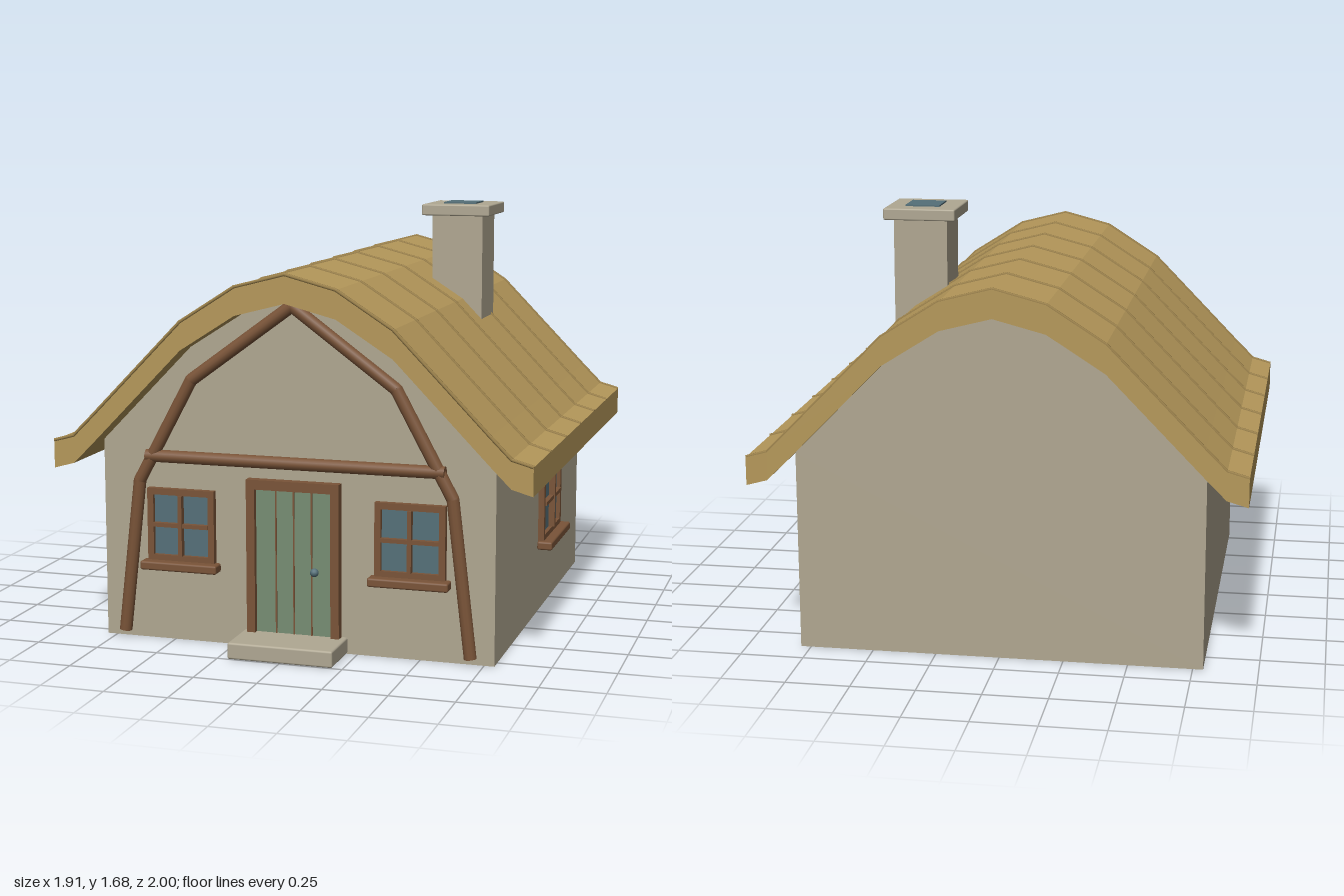
import * as THREE from 'three';
import { RoundedBoxGeometry } from 'three/addons/geometries/RoundedBoxGeometry.js';

const mat = (name, color) => {
  const m = new THREE.MeshStandardMaterial({ color });
  m.name = name;
  return m;
};

export function createModel() {
  const plaster = mat('plaster', 0xb0a791);
  const stone = mat('stone', 0xb0a893);
  const thatch = mat('thatch', 0xb5985a);
  const binding = mat('thatch binding', 0x9c824c);
  const wood = mat('wood', 0x7a5438);
  const green = mat('door paint', 0x778d73);
  const glass = mat('glass', 0x557079);

  const house = new THREE.Group();
  house.name = 'cottage';

  const add = (parent, name, geo, material, x = 0, y = 0, z = 0) => {
    const m = new THREE.Mesh(geo, material);
    m.name = name;
    m.position.set(x, y, z);
    parent.add(m);
    return m;
  };
  const group = (name, parent = house) => {
    const g = new THREE.Group();
    g.name = name;
    parent.add(g);
    return g;
  };
  // Box given by its minimum and maximum corners
  const box = (parent, name, material, x0, x1, y0, y1, z0, z1, round = 0) => {
    const s = [x1 - x0, y1 - y0, z1 - z0];
    const geo = round ? new RoundedBoxGeometry(...s, 2, round) : new THREE.BoxGeometry(...s);
    return add(parent, name, geo, material, (x0 + x1) / 2, (y0 + y1) / 2, (z0 + z1) / 2);
  };
  // Round poles joined end to end along points in the x-y plane
  const poles = (parent, name, material, pts, z, r, sides) => {
    for (let i = 0; i < pts.length - 1; i++) {
      const a = new THREE.Vector3(...pts[i], z), b = new THREE.Vector3(...pts[i + 1], z);
      const d = b.clone().sub(a);
      const p = add(parent, name, new THREE.CylinderGeometry(r, r, d.length(), sides), material);
      p.position.copy(a).add(b).multiplyScalar(0.5);
      p.quaternion.setFromUnitVectors(new THREE.Vector3(0, 1, 0), d.normalize());
      if (i > 0) add(parent, name + 'Joint', new THREE.SphereGeometry(r, sides, 6), material, a.x, a.y, z);
    }
  };
  const extrude = (pts, depth) => new THREE.ExtrudeGeometry(
    new THREE.Shape(pts.map(p => new THREE.Vector2(...p))), { depth, bevelEnabled: false });

  // Roof curve, from the ridge to the right eave, then mirrored
  const half = [[0, 1.472], [0.2, 1.42], [0.42, 1.28], [0.61, 1.085], [0.79, 0.9], [0.87, 0.82], [0.952, 0.797]];
  const mirror = pts => [...pts.slice(1).reverse().map(([x, y]) => [-x, y]), ...pts];
  const top = mirror(half);
  const thick = 0.11;
  const lower = pts => pts.map(([x, y]) => [x, y - thick]);

  // Walls with curved gables
  const gable = lower(mirror(half.slice(0, 5)));
  add(house, 'walls', extrude([[-0.79, 0], [0.79, 0], ...gable.reverse()], 1.68), plaster, 0, 0, -0.88);

  // Thatched roof and its bindings
  const roof = group('roof');
  add(roof, 'thatch', extrude([...lower(top), ...top.slice().reverse()], 1.91), thatch, 0, 0, -0.997);
  for (let i = 0; i < 7; i++) poles(roof, 'binding', binding, top, 0.91 - i * 0.3167, 0.007, 6);

  // Chimney
  const chimney = group('chimney');
  box(chimney, 'stack', plaster, 0.288, 0.502, 1.12, 1.64, -0.39, -0.17);
  box(chimney, 'cap', stone, 0.25, 0.537, 1.627, 1.673, -0.427, -0.135, 0.006);
  box(chimney, 'flue', glass, 0.325, 0.462, 1.67, 1.679, -0.352, -0.215);

  // Timber frame on the front gable
  const frame = group('timberFrame');
  for (const s of [-1, 1]) {
    poles(frame, 'archBeam', wood, [[s * 0.702, 0.03], [s * 0.63, 0.64], [s * 0.41, 1.045], [0, 1.345]], 0.825, 0.025, 12);
  }
  add(frame, 'apexJoint', new THREE.SphereGeometry(0.025, 12, 6), wood, 0, 1.342, 0.825);
  poles(frame, 'crossBeam', wood, [[-0.6, 0.74], [0.6, 0.74]], 0.827, 0.025, 12);

  // Window facing +z with its back on z = 0, centred on x, bottom of frame at y = 0
  const makeWindow = (name, w, h) => {
    const g = group(name);
    const x = w / 2, t = 0.025, d = 0.025;
    box(g, 'pane', glass, -x + t, x - t, t, h - t, 0, 0.009);
    for (const s of [-1, 1]) {
      const e = s * (x - t / 2);
      box(g, 'frameSide', wood, e - t / 2, e + t / 2, 0, h, 0, d);
    }
    box(g, 'frameTop', wood, -x + t, x - t, h - t, h, 0, d);
    box(g, 'frameBottom', wood, -x + t, x - t, 0, t, 0, d);
    box(g, 'mullion', wood, -0.008, 0.008, t, h - t, 0, 0.035);
    box(g, 'glazingBar', wood, -x + t, x - t, h / 2 - 0.008, h / 2 + 0.008, 0, 0.03);
    box(g, 'sill', wood, -x - 0.02, x + 0.02, -0.032, 0.003, 0, 0.063, 0.008);
    return g;
  };
  for (const s of [-1, 1]) makeWindow(s < 0 ? 'rightFrontWindow' : 'leftFrontWindow', 0.277, 0.29).position.set(s * 0.463, 0.32, 0.8);
  const side = makeWindow('sideWindow', 0.37, 0.307);
  side.position.set(0.79, 0.3, -0.187);
  side.rotation.y = Math.PI / 2;

  // Door
  const door = group('door');
  box(door, 'panel', green, -0.155, 0.155, 0.06, 0.635, 0.8, 0.815);
  for (const x of [-0.072, 0, 0.072]) box(door, 'plankGap', wood, x - 0.003, x + 0.003, 0.065, 0.63, 0.812, 0.818);
  for (const s of [-1, 1]) {
    box(door, 'doorPost', wood, s * 0.17 - 0.017, s * 0.17 + 0.017, 0.06, 0.635, 0.8, 0.837);
  }
  box(door, 'lintel', wood, -0.187, 0.187, 0.632, 0.67, 0.8, 0.837);
  add(door, 'knob', new THREE.SphereGeometry(0.017, 12, 8), glass, 0.087, 0.32, 0.83);

  // Doorstep
  box(house, 'doorstep', stone, -0.21, 0.21, 0, 0.065, 0.79, 1, 0.008);

  return house;
}
